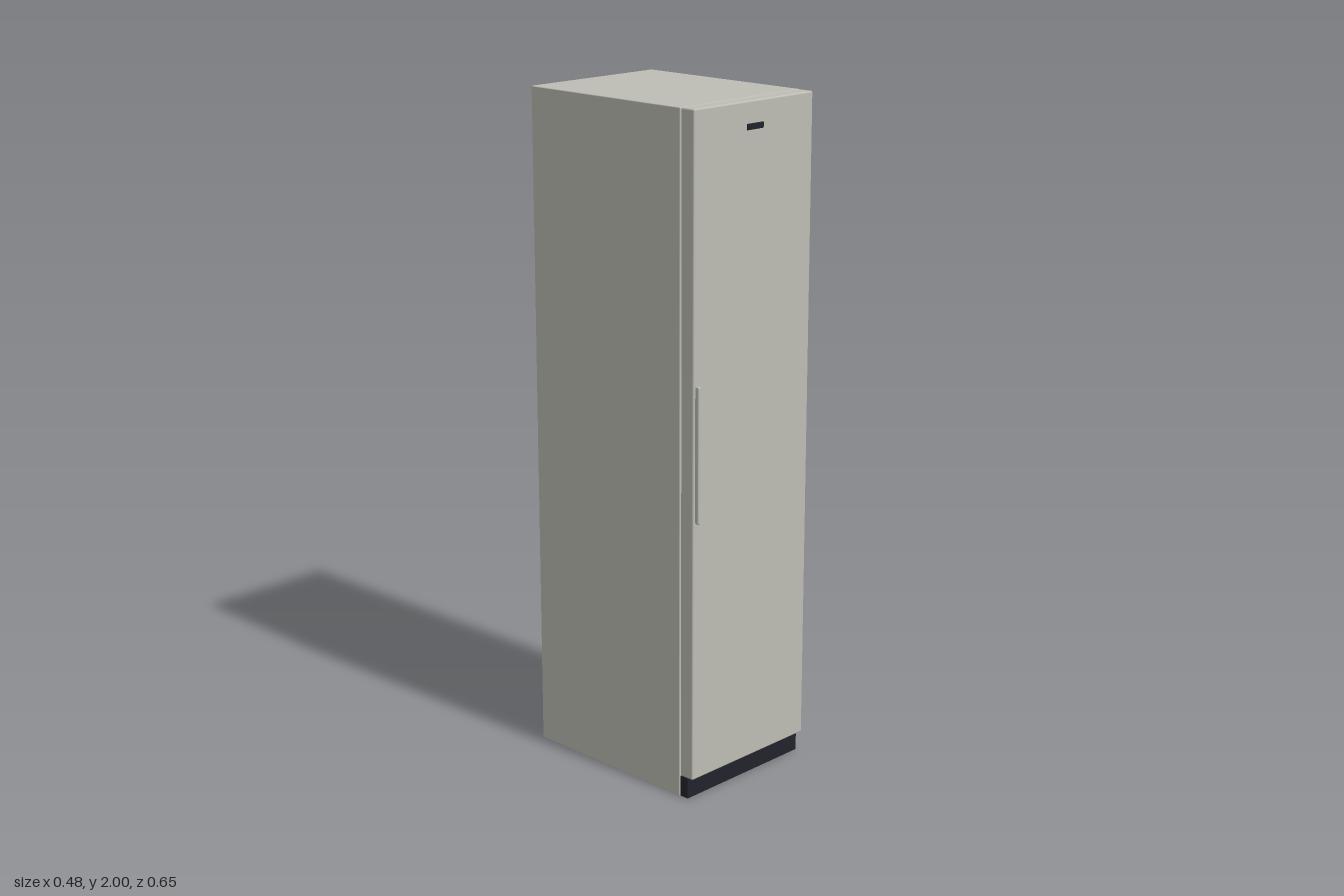
import * as THREE from 'three';
import { RoundedBoxGeometry } from 'three/addons/geometries/RoundedBoxGeometry.js';

const material = (name, color) => {
  const m = new THREE.MeshStandardMaterial({ color });
  m.name = name;
  return m;
};

export function createModel() {
  const steel = material('warm grey steel', 0xbdbdb5);
  const dark = material('dark plastic', 0x22222b);
  const group = new THREE.Group();
  group.name = 'tallRefrigerator';

  // Adds a softly rounded box given its [min, max] extent on each axis
  const addBox = (name, mat, [x0, x1], [y0, y1], [z0, z1], radius) => {
    const size = [x1 - x0, y1 - y0, z1 - z0];
    const geometry = radius
      ? new RoundedBoxGeometry(...size, 3, radius)
      : new THREE.BoxGeometry(...size);
    const mesh = new THREE.Mesh(geometry, mat);
    mesh.name = name;
    mesh.position.set((x0 + x1) / 2, (y0 + y1) / 2, (z0 + z1) / 2);
    group.add(mesh);
  };

  // Cabinet, with a recessed seal behind the door
  addBox('cabinet', steel, [-0.24, 0.24], [0, 2], [-0.325, 0.26], 0.003);
  addBox('doorSeal', steel, [-0.234, 0.234], [0.07, 1.994], [0.255, 0.266]);

  // Full-height door above the plinth
  addBox('door', steel, [-0.238, 0.238], [0.065, 2], [0.262, 0.31], 0.005);

  // Kick plate under the door
  addBox('kickPlate', dark, [-0.236, 0.236], [0.001, 0.063], [0.255, 0.289]);

  // Upright handle: thin web on the door with a rounded grip
  addBox('handleWeb', steel, [-0.231, -0.225], [0.848, 1.239], [0.307, 0.318]);
  addBox('handleGrip', steel, [-0.233, -0.223], [0.845, 1.242], [0.312, 0.325], 0.004);

  // Small blank display plate near the top
  addBox('displayPlate', dark, [-0.032, 0.032], [1.921, 1.938], [0.308, 0.313]);

  return group;
}
